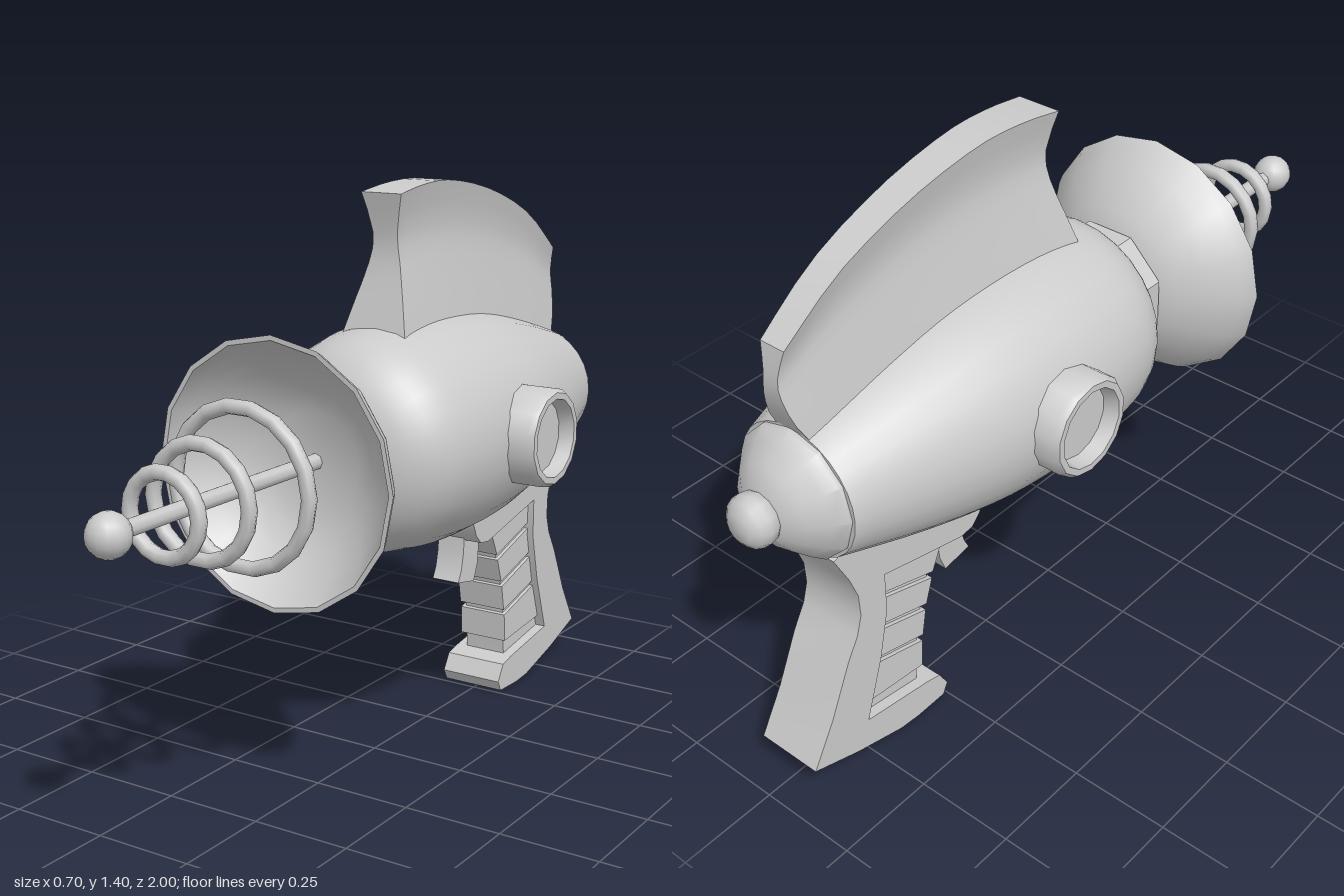
import * as THREE from 'three';
import { toCreasedNormals } from 'three/addons/utils/BufferGeometryUtils.js';

const AXIS_X = -0.008, AXIS_Y = 0.795;
const material = new THREE.MeshStandardMaterial({ color: 0xcccccc });
const thinMaterial = new THREE.MeshStandardMaterial({ color: 0xcccccc, side: THREE.DoubleSide });
const vec2 = (list) => list.map(([a, b]) => new THREE.Vector2(a, b));

export function createModel() {
  const group = new THREE.Group();

  function add(name, geometry, x = AXIS_X, y = 0, z = 0, mat = material) {
    const mesh = new THREE.Mesh(geometry, mat);
    mesh.name = name;
    mesh.position.set(x, y, z);
    group.add(mesh);
    return mesh;
  }

  // Surface of revolution around the barrel axis; profile is [radius, z], back to front
  const turned = (profile, sides, crease = 0.75) =>
    toCreasedNormals(new THREE.LatheGeometry(vec2(profile), sides).rotateX(Math.PI / 2), crease);

  // Side outline [z, y] extruded symmetrically across x
  function slab(outline, width) {
    const geometry = new THREE.ExtrudeGeometry(new THREE.Shape(vec2(outline)), { depth: width, bevelEnabled: false });
    geometry.translate(0, 0, -width / 2).rotateY(-Math.PI / 2);
    return toCreasedNormals(geometry, 0.5);
  }

  // Egg-shaped body
  const bodyCurve = new THREE.SplineCurve(vec2([
    [0.163, -0.83], [0.226, -0.61], [0.27, -0.4], [0.285, -0.18], [0.273, 0],
    [0.243, 0.09], [0.19, 0.145], [0.125, 0.177],
  ])).getPoints(28).map((p) => [p.x, p.y]);
  add('body', turned([[0, -0.83], ...bodyCurve, [0, 0.18]], 28), AXIS_X, AXIS_Y).scale.x = 1.035;

  // Rear cap and knob
  add('rearCap', turned([
    [0, -0.935], [0.065, -0.932], [0.105, -0.905], [0.14, -0.868], [0.162, -0.84], [0.162, -0.825], [0, -0.825],
  ], 12), AXIS_X, AXIS_Y);
  add('rearKnob', turned([
    [0, -1], [0.035, -0.996], [0.056, -0.98], [0.064, -0.96], [0.06, -0.938], [0.05, -0.92], [0, -0.92],
  ], 12, 1), AXIS_X, AXIS_Y);

  // Collar between body and dish
  const collar = new THREE.CylinderGeometry(0.165, 0.165, 0.052, 8).rotateY(Math.PI / 8).rotateX(Math.PI / 2);
  add('collar', toCreasedNormals(collar, 0.5), AXIS_X, AXIS_Y, 0.2);

  // Hollow dish with a flat floor
  add('dish', turned([
    [0, 0.222], [0.13, 0.222], [0.19, 0.255], [0.24, 0.295], [0.278, 0.335], [0.304, 0.373], [0.32, 0.405],
    [0.308, 0.405], [0.288, 0.37], [0.26, 0.332], [0.22, 0.293], [0.175, 0.262], [0.12, 0.238], [0, 0.238],
  ], 16), AXIS_X, AXIS_Y);

  // Antenna rod, rings and ball
  const rod = new THREE.CylinderGeometry(0.02, 0.02, 0.72, 8).rotateX(Math.PI / 2);
  add('antennaRod', rod, AXIS_X, AXIS_Y, 0.59);
  for (const [z, outer] of [[0.52, 0.2], [0.66, 0.147], [0.78, 0.11]]) {
    add('antennaRing', new THREE.TorusGeometry(outer - 0.018, 0.018, 8, 18), AXIS_X, AXIS_Y, z);
  }
  add('antennaBall', new THREE.SphereGeometry(0.05, 14, 10), AXIS_X, AXIS_Y, 0.95);

  // Side dials with a recessed face
  for (const side of [1, -1]) {
    const dial = turned([
      [0.124, 0.22], [0.124, 0.335], [0.114, 0.35], [0.098, 0.35], [0.09, 0.312], [0, 0.312],
    ], 14);
    add(side > 0 ? 'leftDial' : 'rightDial', dial, 0, AXIS_Y, -0.27).rotation.y = side * Math.PI / 2;
  }

  add('fin', finGeometry(), AXIS_X, 0, 0, thinMaterial);

  // Handle frame with its front cut away for the grip
  add('handle', slab([
    [-0.34, 0.56], [-0.35, 0.515], [-0.365, 0.48], [-0.39, 0.455], [-0.43, 0.45], [-0.475, 0.46],
    [-0.68, 0.505], [-0.68, 0.4], [-0.71, 0.27], [-0.762, 0.115], [-0.565, 0.085], [-0.523, 0.075],
    [-0.497, 0.032], [-0.512, 0.003], [-0.6, 0], [-0.66, 0.005], [-0.8, 0.042], [-0.935, 0.088],
    [-0.87, 0.2], [-0.81, 0.33], [-0.775, 0.39], [-0.76, 0.44], [-0.763, 0.5], [-0.785, 0.56],
    [-0.825, 0.64], [-0.7, 0.68], [-0.5, 0.62],
  ], 0.172));

  // Grip core with four raised ribs
  add('gripCore', slab([
    [-0.49, 0.47], [-0.7, 0.52], [-0.7, 0.4], [-0.73, 0.27], [-0.78, 0.1], [-0.575, 0.07], [-0.568, 0.2],
    [-0.545, 0.31],
  ], 0.116));
  const front = [[-0.475, 0.47], [-0.514, 0.38], [-0.54, 0.298], [-0.557, 0.212], [-0.565, 0.12]];
  const back = [[-0.685, 0.515], [-0.69, 0.432], [-0.705, 0.345], [-0.725, 0.255], [-0.765, 0.14]];
  for (let i = 0; i < 4; i++) {
    const [f0, f1, b0, b1] = [front[i], front[i + 1], back[i], back[i + 1]];
    add('gripRib', slab([
      [f0[0], f0[1] - 0.008], [b0[0], b0[1] - 0.008], [b1[0], b1[1] + 0.008], [f1[0] + 0.004, f1[1] + 0.008],
    ], 0.136));
  }

  // Trigger
  add('trigger', slab([
    [-0.385, 0.48], [-0.38, 0.42], [-0.37, 0.375], [-0.355, 0.346], [-0.437, 0.33], [-0.455, 0.375],
    [-0.46, 0.42], [-0.464, 0.48],
  ], 0.078));

  return group;
}

// Flared fin: a patch between four edge curves, given a half width that varies with height and length
function finGeometry() {
  const curve = (list) => new THREE.SplineCurve(vec2(list));
  const front = curve([[0, 1.03], [-0.03, 1.13], [-0.055, 1.22], [-0.058, 1.29], [-0.04, 1.387]]);
  const back = curve([[-0.81, 0.92], [-0.85, 0.99], [-0.87, 1.06], [-0.87, 1.11], [-0.858, 1.175]]);
  const top = curve([[-0.04, 1.387], [-0.16, 1.402], [-0.3, 1.4], [-0.5, 1.36], [-0.7, 1.284], [-0.858, 1.175]]);
  const bottom = curve([[0, 1.03], [-0.4, 1], [-0.81, 0.92]]);
  const width = curve([[0, 0.094], [0.25, 0.068], [0.5, 0.044], [0.75, 0.034], [1, 0.056]]);
  const NU = 14, NV = 8, positions = [];

  function point(i, j, side) {
    const u = i / NU, v = j / NV;
    const [f, b, t, d] = [front.getPoint(v), back.getPoint(v), top.getPoint(u), bottom.getPoint(u)];
    const [f0, f1, b0, b1] = [front.getPoint(0), front.getPoint(1), back.getPoint(0), back.getPoint(1)];
    const patch = (k) => (1 - u) * f[k] + u * b[k] + (1 - v) * d[k] + v * t[k]
      - (1 - u) * ((1 - v) * f0[k] + v * f1[k]) - u * ((1 - v) * b0[k] + v * b1[k]);
    return [side * width.getPoint(v).y * (1 - 0.4 * u), patch('y'), patch('x')];
  }
  const quad = (a, b, c, d) => positions.push(...a, ...b, ...c, ...a, ...c, ...d);

  // Both flanks
  for (let i = 0; i < NU; i++) {
    for (let j = 0; j < NV; j++) {
      quad(point(i, j, 1), point(i + 1, j, 1), point(i + 1, j + 1, 1), point(i, j + 1, 1));
      quad(point(i, j, -1), point(i, j + 1, -1), point(i + 1, j + 1, -1), point(i + 1, j, -1));
    }
    // Top strip
    quad(point(i, NV, -1), point(i, NV, 1), point(i + 1, NV, 1), point(i + 1, NV, -1));
  }
  // Front and back edges
  for (let j = 0; j < NV; j++) {
    quad(point(0, j, -1), point(0, j, 1), point(0, j + 1, 1), point(0, j + 1, -1));
    quad(point(NU, j, 1), point(NU, j, -1), point(NU, j + 1, -1), point(NU, j + 1, 1));
  }
  const geometry = new THREE.BufferGeometry();
  geometry.setAttribute('position', new THREE.Float32BufferAttribute(positions, 3));
  return toCreasedNormals(geometry, 0.6);
}
